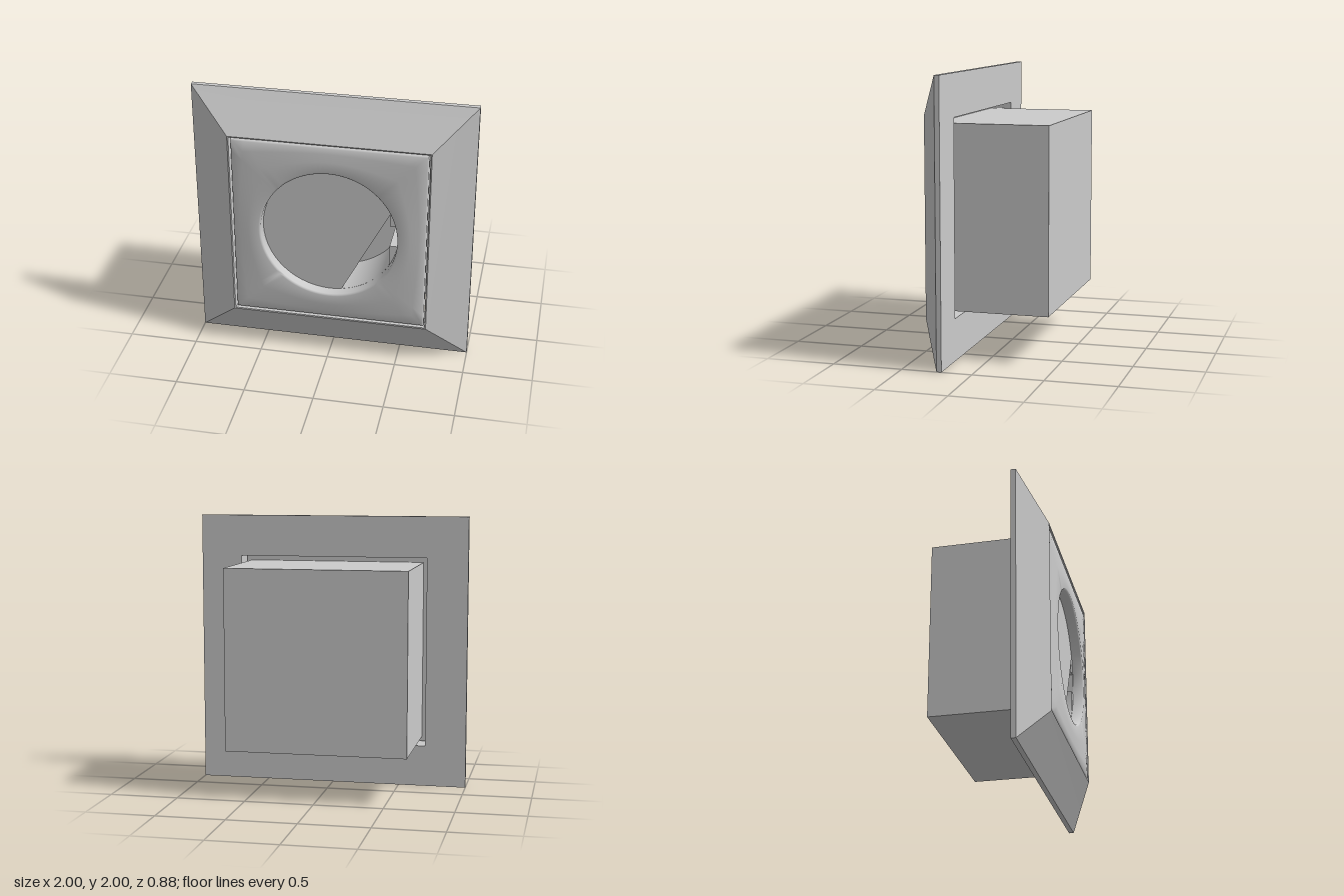
import * as THREE from 'three';
import { toCreasedNormals } from 'three/addons/utils/BufferGeometryUtils.js';

const R = 0.487; // radius of the round well

function mesh(name, geometry, color = 0xcccccc, side = THREE.FrontSide) {
  const m = new THREE.Mesh(geometry, new THREE.MeshStandardMaterial({ color, side }));
  m.name = name;
  return m;
}

// Square frame: a four-sided lathe of a [half width, z] profile
function squareFrame(profile) {
  const g = new THREE.LatheGeometry(profile.map(([h, z]) => new THREE.Vector2(h * Math.SQRT2, z)), 4);
  g.rotateY(Math.PI / 4);
  g.rotateX(Math.PI / 2);
  return toCreasedNormals(g, 0.6);
}

// Skin over loops [size, z, t] that blend from a square (t = 0) to a circle (t = 1)
function squareToCircle(loops, n = 96) {
  const pos = [], index = [];
  for (const [size, z, t] of loops) {
    for (let i = 0; i < n; i++) {
      const a = (i / n) * Math.PI * 2, c = Math.cos(a), s = Math.sin(a);
      const k = size * ((1 - t) / Math.max(Math.abs(c), Math.abs(s)) + t);
      pos.push(c * k, s * k, z);
    }
  }
  for (let j = 0; j < loops.length - 1; j++) {
    for (let i = 0; i < n; i++) {
      const a = j * n + i, b = j * n + ((i + 1) % n);
      index.push(a, b, b + n, a, b + n, a + n);
    }
  }
  const g = new THREE.BufferGeometry();
  g.setAttribute('position', new THREE.Float32BufferAttribute(pos, 3));
  g.setIndex(index);
  return toCreasedNormals(g, 0.9);
}

// Round well outline with a flat, notched rib on either side
function wellPath() {
  const flat = 0.425, notch = 0.08, a = Math.acos(flat / R);
  const p = new THREE.Path();
  p.absarc(0, 0, R, a, Math.PI - a, false);
  p.lineTo(-flat, notch);
  p.lineTo(-0.48, notch);
  p.lineTo(-0.48, -notch);
  p.lineTo(-flat, -notch);
  p.absarc(0, 0, R, Math.PI + a, -a, false);
  p.lineTo(flat, -notch);
  p.lineTo(0.48, -notch);
  p.lineTo(0.48, notch);
  p.lineTo(flat, notch);
  p.closePath();
  return p;
}

// Square block from z0 to z1 with holes through it
function block(half, z0, z1, holes) {
  const s = new THREE.Shape();
  s.moveTo(-half, -half);
  s.lineTo(half, -half);
  s.lineTo(half, half);
  s.lineTo(-half, half);
  s.closePath();
  s.holes.push(...holes);
  const g = new THREE.ExtrudeGeometry(s, { depth: z1 - z0, bevelEnabled: false, curveSegments: 32 });
  g.translate(0, 0, z0);
  return toCreasedNormals(g, 0.6);
}

export function createModel() {
  const model = new THREE.Group();
  model.name = 'wallSocket';
  const body = new THREE.Group();
  body.name = 'socketBody';
  body.position.y = 1;
  model.add(body);

  // Sloped outer frame, open in the middle
  body.add(mesh('outerFrame', squareFrame([
    [0.698, 0.215], [1, 0.215], [1, 0.25], [0.718, 0.42],
    [0.71, 0.425], [0.702, 0.422], [0.698, 0.412], [0.698, 0.215],
  ])));

  // Slightly domed cover plate with rounded edges and a round opening
  body.add(mesh('coverPlate', squareToCircle([
    [R, 0.36, 1], [0.69, 0.36, 0], [0.69, 0.405, 0], [0.687, 0.415, 0], [0.679, 0.421, 0],
    [0.64, 0.427, 0.2], [0.58, 0.434, 0.55], [0.505, 0.438, 1],
    [0.496, 0.435, 1], [0.49, 0.428, 1], [R, 0.36, 1],
  ])));

  // Housing: rear box, floor with contact holes, and the ribbed well
  const box = mesh('rearHousing', new THREE.BoxGeometry(1.31, 1.31, 0.24));
  box.position.z = -0.32;
  body.add(box);
  const contactHoles = [-0.24, 0.24].map((x) => {
    const hole = new THREE.Path();
    hole.absarc(x, 0, 0.065, 0, Math.PI * 2, false);
    return hole;
  });
  body.add(mesh('wellFloor', block(0.655, -0.2, 0, contactHoles)));
  body.add(mesh('wellWalls', block(0.655, 0, 0.358, [wellPath()])));

  // Shutter disc, cut off along a slanting line
  const from = [0.43, 0.2], to = [0.08, -0.48];
  const disc = new THREE.Shape();
  disc.absarc(0, 0, R, Math.atan2(from[1], from[0]), Math.atan2(to[1], to[0]) + Math.PI * 2, false);
  disc.closePath();
  const shutter = mesh('shutter', new THREE.ShapeGeometry(disc, 64), 0xcccccc, THREE.DoubleSide);
  shutter.position.z = 0.36;
  body.add(shutter);

  // Earth clips at the top and bottom of the well
  for (const side of [1, -1]) {
    const seat = mesh('clipSeat', new THREE.BoxGeometry(0.14, 0.08, 0.08));
    seat.position.set(0, side * 0.45, 0.04);
    const clip = mesh('earthClip', new THREE.CylinderGeometry(0.025, 0.025, 0.26, 16), 0xa08468);
    clip.rotation.x = Math.PI / 2;
    clip.position.set(0.02, side * 0.45, 0.2);
    body.add(seat, clip);
  }
  return model;
}
